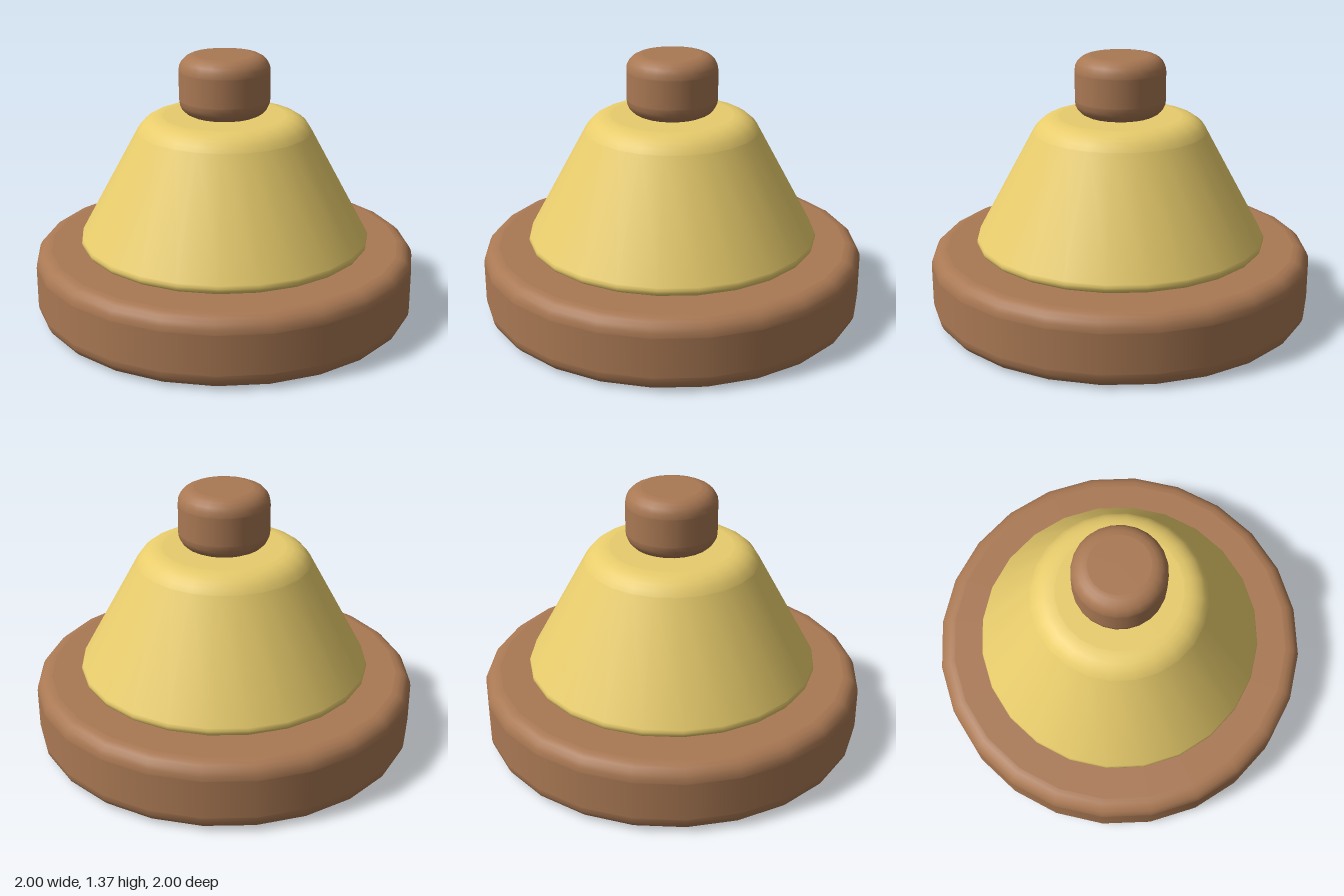
import * as THREE from 'three';

const SIDES = 24;
const ARC_STEPS = 5;

// Lathe profile through [radius, y, trim] corners; each corner is rounded by
// a circular arc that starts and ends `trim` away from it.
function roundedProfile(bottomY, corners, topY) {
  const pts = [[0, bottomY], ...corners, [0, topY]].map(([r, y]) => new THREE.Vector2(r, y));
  const out = [pts[0]];
  corners.forEach(([, , trim], i) => {
    const c = pts[i + 1];
    const toPrev = pts[i].clone().sub(c).normalize();
    const toNext = pts[i + 2].clone().sub(c).normalize();
    const a = c.clone().addScaledVector(toPrev, trim);
    const b = c.clone().addScaledVector(toNext, trim);
    const w = Math.sqrt((1 - toPrev.dot(toNext)) / 2);
    // Support points keep the flat stretches evenly shaded.
    out.push(a.clone().addScaledVector(toPrev, 0.004));
    for (let k = 0; k <= ARC_STEPS; k++) {
      const t = k / ARC_STEPS;
      const wa = (1 - t) ** 2, wc = 2 * w * t * (1 - t), wb = t * t;
      out.push(new THREE.Vector2()
        .addScaledVector(a, wa).addScaledVector(c, wc).addScaledVector(b, wb)
        .divideScalar(wa + wc + wb));
    }
    out.push(b.clone().addScaledVector(toNext, 0.004));
  });
  out.push(pts[pts.length - 1]);
  return out;
}

function turned(name, material, bottomY, corners, topY) {
  const geometry = new THREE.LatheGeometry(roundedProfile(bottomY, corners, topY), SIDES);
  const mesh = new THREE.Mesh(geometry, material);
  mesh.name = name;
  return mesh;
}

export function createModel() {
  const brown = new THREE.MeshStandardMaterial({ color: 0xa97853 });
  const yellow = new THREE.MeshStandardMaterial({ color: 0xe8cc6c });

  const model = new THREE.Group();
  model.name = 'bell';
  model.add(
    // Wide round base
    turned('base', brown, 0, [[1, 0, 0.08], [1, 0.37, 0.08]], 0.37),
    // Tapered bell body with a tight lower rim and a softer shoulder
    turned('bellBody', yellow, 0.375, [[0.78, 0.375, 0.05], [0.41, 1.055, 0.085]], 1.055),
    // Push button
    turned('button', brown, 1.058, [[0.235, 1.058, 0.08], [0.235, 1.37, 0.08]], 1.37),
  );
  return model;
}
